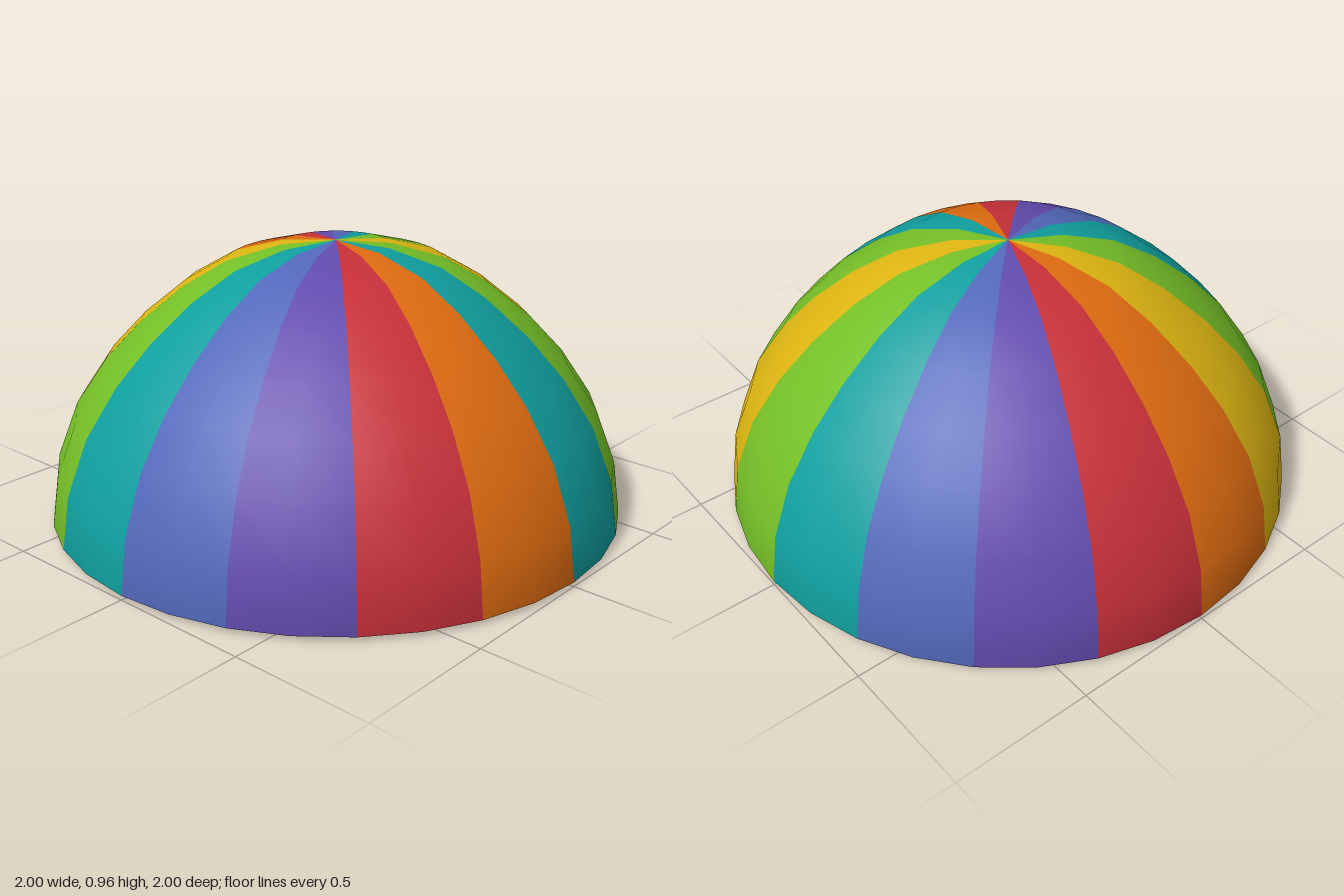
import * as THREE from 'three';

const mat = (name, color) => {
  const m = new THREE.MeshStandardMaterial({ color });
  m.name = name;
  return m;
};

export function createModel() {
  const group = new THREE.Group();
  group.name = 'stripedDome';

  const c = {
    red: mat('red', 0xc83039),
    orange: mat('orange', 0xe06c10),
    yellow: mat('yellow', 0xdeb611),
    green: mat('green', 0x75c027),
    teal: mat('teal', 0x109f9f),
    blue: mat('blue', 0x5268ba),
    violet: mat('violet', 0x624bae),
  };

  // Outer dome from rim to crown, as radius and height
  const outer = [
    [1.0, 0.015], [0.973, 0.2], [0.9, 0.39], [0.792, 0.55], [0.67, 0.68],
    [0.523, 0.8], [0.37, 0.89], [0.19, 0.942], [0, 0.956],
  ];
  // Lining: the same curve set inwards, from crown to rim
  const inner = outer.slice(1).reverse().map(([r, y]) => [r * 0.96, y * 0.96]);
  const hem = [[0.957, 0.012], [0.968, 0]];
  const profile = [...inner, ...hem, ...outer].map(([r, y]) => new THREE.Vector2(r, y));

  // Panel colours, going round from the front towards +x
  const order = [
    'teal', 'green', 'yellow', 'green', 'teal', 'blue', 'violet', 'red',
    'orange', 'yellow', 'green', 'teal', 'blue', 'violet', 'red', 'orange',
  ];
  const step = (Math.PI * 2) / order.length;
  order.forEach((color, i) => {
    const panel = new THREE.Mesh(new THREE.LatheGeometry(profile, 2, i * step, step), c[color]);
    panel.name = `${color}Panel${i + 1}`;
    group.add(panel);
  });

  return group;
}
